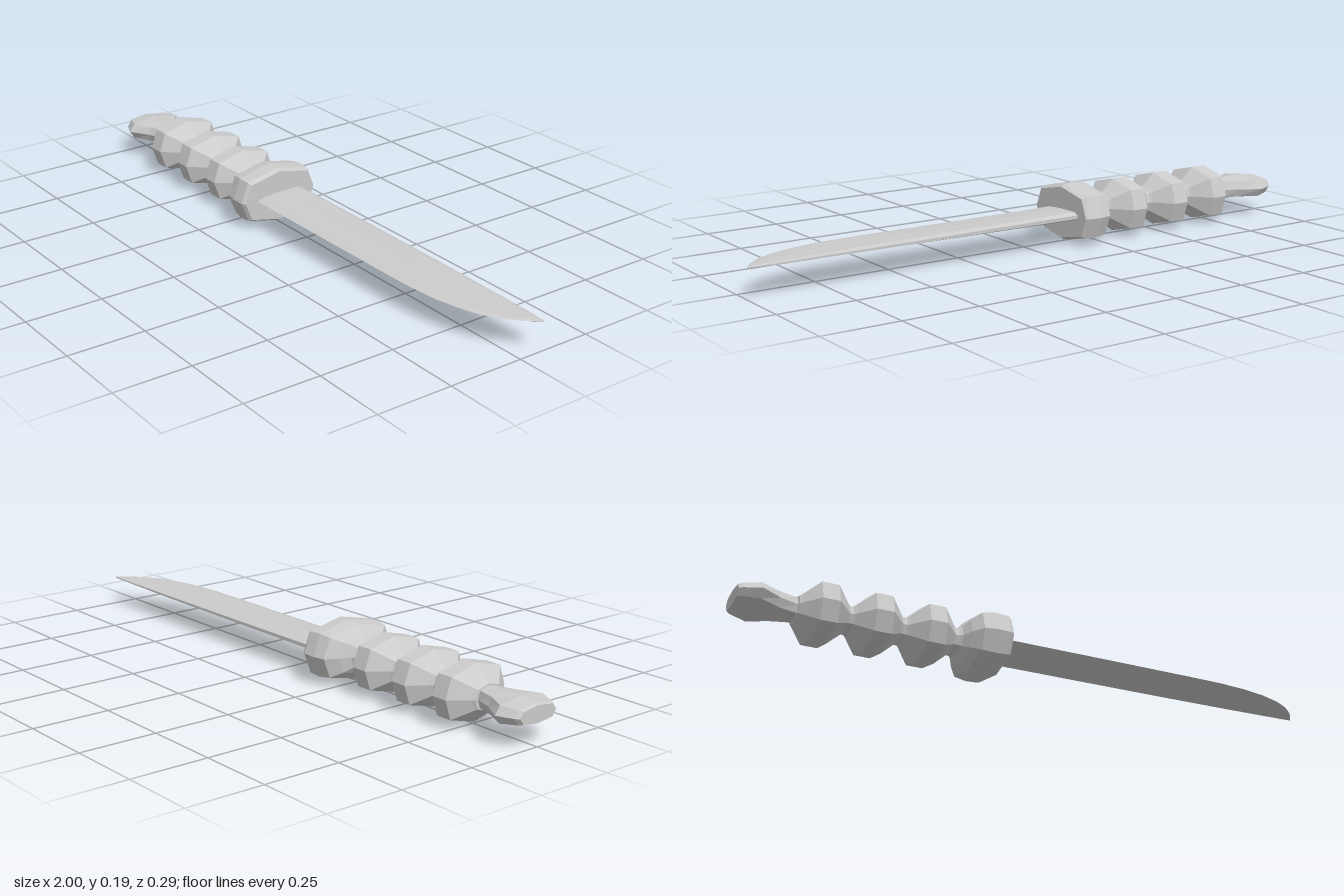
import * as THREE from 'three';

const CY = 0.096; // height of the knife's long axis
const material = new THREE.MeshStandardMaterial({ color: 0xcccccc, flatShading: true, side: THREE.DoubleSide });

// Skin a list of rings, each a loop of [x, y, z] running from +y towards +z, and cap both ends.
function loft(name, rings) {
  const n = rings[0].length, pos = [], index = [];
  rings.forEach(r => r.forEach(p => pos.push(...p)));
  for (let i = 0; i < rings.length - 1; i++) {
    for (let j = 0; j < n; j++) {
      const a = i * n + j, b = i * n + (j + 1) % n;
      index.push(a, b, a + n, b, b + n, a + n);
    }
  }
  const last = (rings.length - 1) * n;
  for (let j = 1; j < n - 1; j++) {
    index.push(0, j + 1, j);
    index.push(last, last + j, last + j + 1);
  }
  const geo = new THREE.BufferGeometry();
  geo.setAttribute('position', new THREE.Float32BufferAttribute(pos, 3));
  geo.setIndex(index);
  const flat = geo.toNonIndexed();
  flat.computeVertexNormals();
  const mesh = new THREE.Mesh(flat, material);
  mesh.name = name;
  return mesh;
}

// Flattened octagon: h is the half height, w the half width
const OCT = [[1, 0], [0.72, 0.82], [0, 1], [-0.72, 0.82], [-1, 0], [-0.72, -0.82], [0, -1], [0.72, -0.82]];
const octagon = ([x, h, w]) => OCT.map(([y, z]) => [x, CY + y * h, z * w]);

// Blade section: cutting edge at z = e, spine at z = s, half thickness t
function bladeSection([x, e, s, t]) {
  const at = f => s + (e - s) * f;
  const half = [[t * 0.45, s], [t, at(0.1)], [t * 0.95, at(0.5)], [t * 0.65, at(0.85)]];
  return [
    ...half.map(([y, z]) => [x, CY + y, z]),
    [x, CY, e],
    ...half.reverse().map(([y, z]) => [x, CY - y, z]),
  ];
}

export function createModel() {
  const knife = new THREE.Group();
  knife.name = 'knife';

  // Flared butt of the handle
  knife.add(loft('pommel', [
    [-1, 0.026, 0.07], [-0.988, 0.03, 0.08], [-0.935, 0.037, 0.102],
    [-0.87, 0.037, 0.062], [-0.81, 0.036, 0.042], [-0.75, 0.036, 0.05],
  ].map(octagon)));

  // Slim core running through the grip
  knife.add(loft('gripCore', [[-0.78, 0.04, 0.052], [-0.22, 0.04, 0.052]].map(octagon)));

  // Three ridged beads with small collars either side
  [-0.73, -0.56, -0.387].forEach((x, i) => {
    knife.add(loft('gripBead' + (i + 1), [
      [-0.08, 0.04, 0.052], [-0.072, 0.046, 0.06], [-0.055, 0.062, 0.082], [-0.027, 0.088, 0.117],
      [0.027, 0.088, 0.117], [0.055, 0.062, 0.082], [0.072, 0.046, 0.06], [0.08, 0.04, 0.052],
    ].map(([dx, h, w]) => octagon([x + dx, h, w]))));
  });

  // Thick guard with bevelled rims
  knife.add(loft('guard', [
    [-0.295, 0.04, 0.052], [-0.285, 0.046, 0.06], [-0.27, 0.066, 0.095], [-0.245, 0.088, 0.135],
    [-0.205, 0.095, 0.143], [-0.16, 0.092, 0.142], [-0.148, 0.084, 0.134],
  ].map(octagon)));

  // Blade, edge towards the front, curving up to the spine at the tip
  knife.add(loft('blade', [
    [-0.2, 0.088, -0.09, 0.014], [0.2, 0.088, -0.09, 0.011], [0.5, 0.087, -0.089, 0.009],
    [0.62, 0.085, -0.088, 0.008], [0.72, 0.076, -0.087, 0.007], [0.8, 0.06, -0.086, 0.006],
    [0.87, 0.036, -0.085, 0.005], [0.925, 0.006, -0.084, 0.004], [0.965, -0.03, -0.083, 0.004],
    [0.985, -0.055, -0.082, 0.003], [1, -0.078, -0.081, 0.002],
  ].map(bladeSection)));

  return knife;
}
